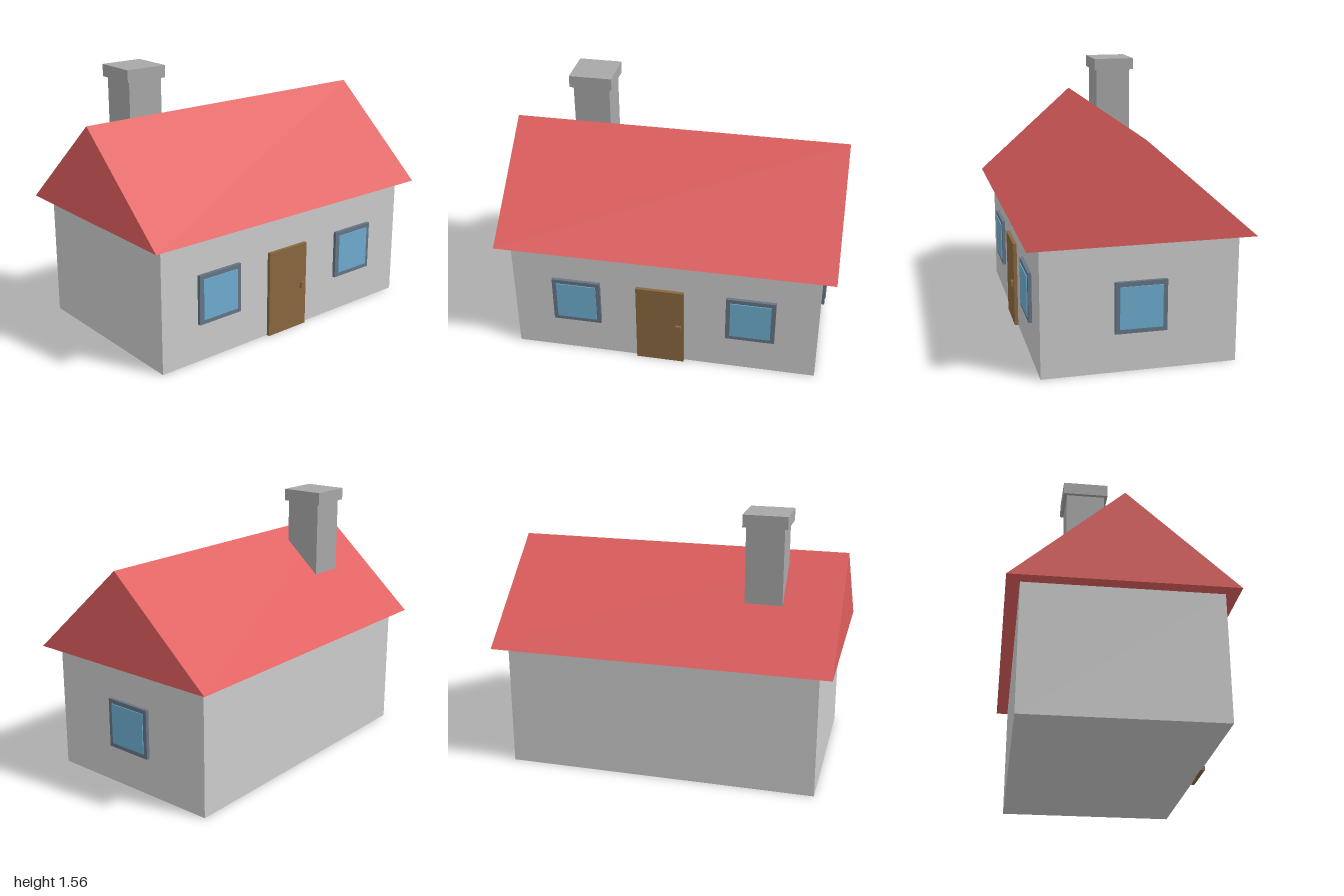
import * as THREE from 'three';

const mat = (name, color) => {
  const m = new THREE.MeshStandardMaterial({ color });
  m.name = name;
  return m;
};

export function createModel() {
  const house = new THREE.Group();
  house.name = 'house';

  const wall = mat('wall grey', 0xcccccc);
  const roofRed = mat('roof red', 0xe05e5e);
  const stone = mat('chimney grey', 0xa8a8a8);
  const wood = mat('door brown', 0x8a683f);
  const frameGrey = mat('frame slate', 0x667585);
  const glass = mat('glass blue', 0x6eadd0);

  // Box given by its lower and upper corners
  const box = (name, material, [x0, y0, z0], [x1, y1, z1], parent = house) => {
    const mesh = new THREE.Mesh(new THREE.BoxGeometry(x1 - x0, y1 - y0, z1 - z0), material);
    mesh.position.set((x0 + x1) / 2, (y0 + y1) / 2, (z0 + z1) / 2);
    mesh.name = name;
    parent.add(mesh);
    return mesh;
  };

  box('walls', wall, [-0.922, 0, -0.555], [0.922, 0.745, 0.555]);

  // Gable roof: triangular prism along x
  const gable = new THREE.Shape([
    new THREE.Vector2(-0.63, 0.745),
    new THREE.Vector2(0.63, 0.745),
    new THREE.Vector2(0, 1.3),
  ]);
  const roofGeometry = new THREE.ExtrudeGeometry(gable, { depth: 2, bevelEnabled: false });
  roofGeometry.translate(0, 0, -1).rotateY(Math.PI / 2);
  const roof = new THREE.Mesh(roofGeometry, roofRed);
  roof.name = 'roof';
  house.add(roof);

  // Chimney, sunk into the back slope
  box('chimneyStack', stone, [-0.665, 0.95, -0.295], [-0.445, 1.49, -0.075]);
  box('chimneyCap', stone, [-0.685, 1.488, -0.315], [-0.427, 1.56, -0.057]);

  // Door with its handle
  box('door', wood, [-0.165, 0, 0.55], [0.125, 0.523, 0.576]);
  box('doorHandle', wood, [0.077, 0.244, 0.57], [0.109, 0.281, 0.592]);

  // Windows: a frame with a slightly raised pane, facing +z before turning
  const addWindow = (name, x, z, turn) => {
    const group = new THREE.Group();
    group.name = name;
    box('windowFrame', frameGrey, [-0.147, -0.147, -0.005], [0.147, 0.147, 0.02], group);
    box('windowPane', glass, [-0.121, -0.121, 0.018], [0.121, 0.121, 0.025], group);
    group.position.set(x, 0.375, z);
    group.rotation.y = turn;
    house.add(group);
  };
  addWindow('frontRightWindow', -0.531, 0.555, 0);
  addWindow('frontLeftWindow', 0.523, 0.555, 0);
  addWindow('sideWindow', 0.922, 0, Math.PI / 2);

  return house;
}
